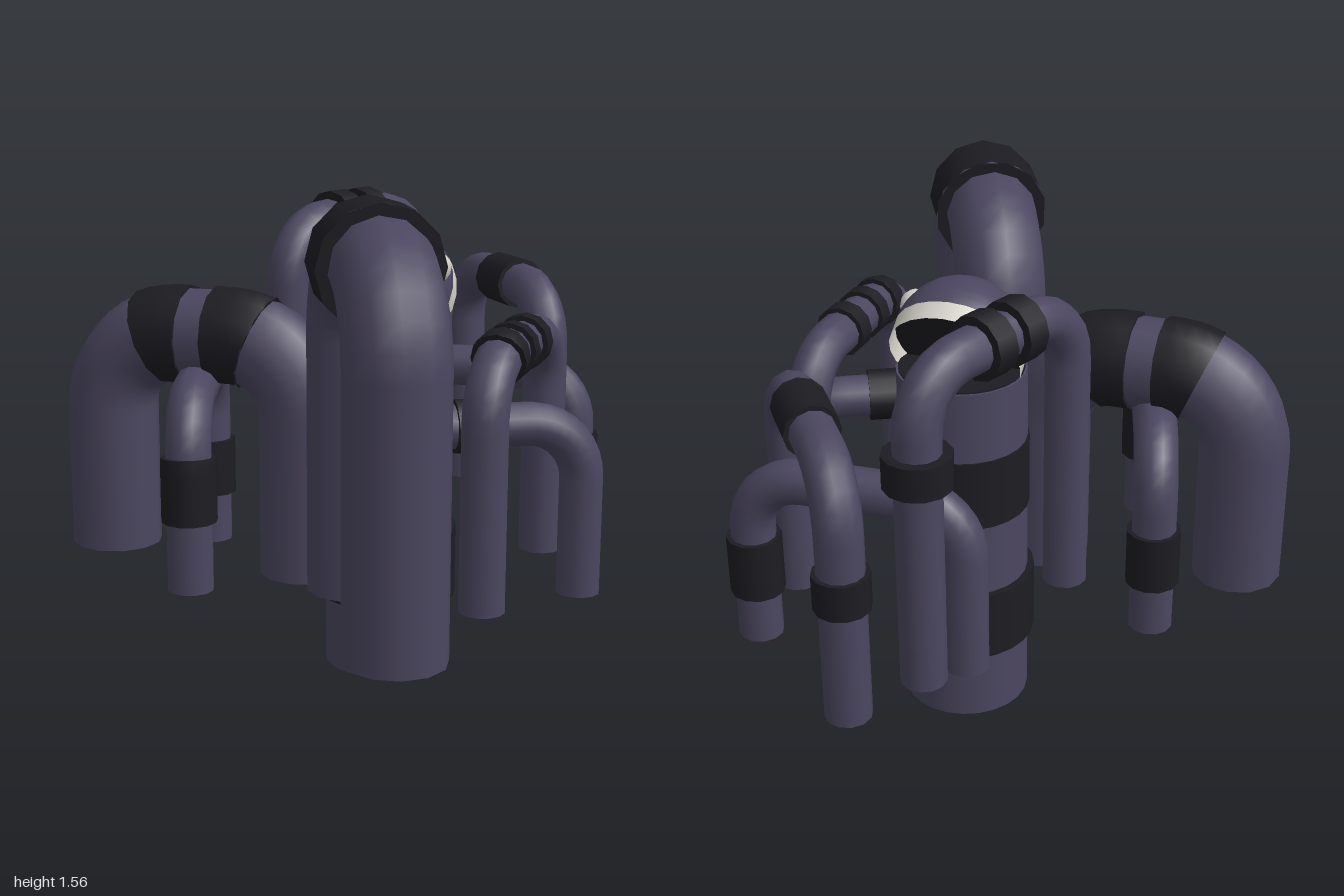
import * as THREE from 'three';

const skin = new THREE.MeshStandardMaterial({ color: 0x4b465f });
const dark = new THREE.MeshStandardMaterial({ color: 0x1c1c22 });
const ivory = new THREE.MeshStandardMaterial({ color: 0xd4d2c8, side: THREE.DoubleSide });

// Path of an arch: leg up, quarter turn, straight span, quarter turn, leg down.
// from/to are distances along the path, so a piece of it can be swept too.
class ArchCurve extends THREE.Curve {
  constructor(arch, from = 0, to = arch.length) {
    super();
    Object.assign(this, { arch, from, to });
  }
  getPoint(t, target = new THREE.Vector3()) {
    const { a, b, top, bend: R, span, upA, upB, flat, length } = this.arch;
    const s = this.from + (this.to - this.from) * t;
    const arc = R * Math.PI / 2;
    let u, y;
    if (s < upA) { u = 0; y = top - R - upA + s; }
    else if (s < upA + arc) {
      const k = (s - upA) / R;
      u = R - R * Math.cos(k); y = top - R + R * Math.sin(k);
    } else if (s < upA + arc + flat) { u = R + s - upA - arc; y = top; }
    else if (s < length - upB) {
      const k = (s - upA - arc - flat) / R;
      u = span - R + R * Math.sin(k); y = top - R + R * Math.cos(k);
    } else { u = span; y = top - R - (s - (length - upB)); }
    const f = u / span;
    return target.set(a[0] + (b[0] - a[0]) * f, y, a[1] + (b[1] - a[1]) * f);
  }
}

function add(parent, name, geometry, material, x = 0, y = 0, z = 0) {
  const mesh = new THREE.Mesh(geometry, material);
  mesh.name = name;
  mesh.position.set(x, y, z);
  parent.add(mesh);
  return mesh;
}

// Swept tube closed with a disc at both ends
function closedTube(parent, name, curve, radius, segments, material) {
  add(parent, name, new THREE.TubeGeometry(curve, segments, radius, 12), material);
  for (const t of [0, 1]) {
    const p = curve.getPoint(t);
    const out = curve.getTangent(t).multiplyScalar(t ? 1 : -1);
    const cap = add(parent, name + 'End', new THREE.CircleGeometry(radius, 12), material, p.x, p.y, p.z);
    cap.quaternion.setFromUnitVectors(new THREE.Vector3(0, 0, 1), out);
  }
}

// a, b: [x, z, bottom y] of the two legs; top: height of the centre line.
// bands: [place, position, width, radius], place 'a'/'b' = height on that leg,
// 'span' = distance from leg a along the top.
function makeArch({ name, a, b, top, radius, bend, bands }) {
  const group = new THREE.Group();
  group.name = name;
  const span = Math.hypot(b[0] - a[0], b[1] - a[1]);
  const upA = top - bend - a[2], upB = top - bend - b[2];
  const flat = span - 2 * bend;
  const length = upA + upB + flat + Math.PI * bend;
  const arch = { a, b, top, bend, span, upA, upB, flat, length };
  closedTube(group, 'tentacle', new ArchCurve(arch), radius, 48, skin);
  for (const [place, pos, width, r] of bands) {
    const s = place === 'a' ? pos - a[2]
      : place === 'b' ? length - (pos - b[2])
        : upA + bend * Math.PI / 2 + pos - bend;
    closedTube(group, 'band', new ArchCurve(arch, s - width / 2, s + width / 2), r, 4, dark);
  }
  return group;
}

const arches = [
  { name: 'largeSideArch', a: [-0.69, 0.15, 0.41], b: [-0.055, 0.175, 0.37], top: 1.09, radius: 0.14, bend: 0.235,
    bands: [['span', 0.205, 0.125, 0.15], ['span', 0.42, 0.135, 0.15]] },
  { name: 'largeFrontArch', a: [0.13, 0.28, 0.37], b: [0.405, 0.855, 0.38], top: 1.385, radius: 0.144, bend: 0.24,
    bands: [['span', 0.32, 0.19, 0.178]] },
  { name: 'smallSideArch', a: [-0.48, -0.135, 0.35], b: [-0.31, 0.49, 0.39], top: 0.945, radius: 0.068, bend: 0.17,
    bands: [['a', 0.6, 0.18, 0.083], ['b', 0.695, 0.19, 0.083]] },
  { name: 'threeBandArch', a: [0.555, 0.465, 0.4], b: [0.61, -0.17, 0.4], top: 1.105, radius: 0.067, bend: 0.17,
    bands: [['span', 0.14, 0.045, 0.082], ['span', 0.245, 0.05, 0.082], ['span', 0.38, 0.06, 0.082]] },
  { name: 'lowFrontArch', a: [0.19, 0.29, 0.33], b: [0.76, 0.015, 0.33], top: 0.86, radius: 0.067, bend: 0.17,
    bands: [['span', 0.31, 0.14, 0.082]] },
  { name: 'tallBackArch', a: [-0.205, -0.14, 0.47], b: [0.05, -0.715, 0.43], top: 1.39, radius: 0.069, bend: 0.17,
    bands: [['span', 0.235, 0.075, 0.095], ['span', 0.36, 0.075, 0.095], ['b', 1.12, 0.1, 0.1]] },
  { name: 'lowBackArch', a: [-0.01, -0.51, 0.35], b: [0.65, -0.525, 0.35], top: 0.9, radius: 0.068, bend: 0.17,
    bands: [['b', 0.6, 0.19, 0.083]] },
  { name: 'rearArch', a: [0.2, -0.918, 0.42], b: [0.575, -0.395, 0.47], top: 1.175, radius: 0.068, bend: 0.17,
    bands: [['a', 0.835, 0.11, 0.082], ['span', 0.355, 0.18, 0.082]] },
];

function makeBody() {
  const body = new THREE.Group();
  body.name = 'body';
  body.position.set(0.125, 0, -0.125);
  add(body, 'trunk', new THREE.CylinderGeometry(0.197, 0.197, 1.14, 24), skin, 0, 0.57, 0);
  add(body, 'lowerBand', new THREE.CylinderGeometry(0.218, 0.218, 0.225, 24), dark, 0, 0.342, 0);
  add(body, 'upperBand', new THREE.CylinderGeometry(0.203, 0.203, 0.225, 24), dark, 0, 0.802, 0);
  add(body, 'throat', new THREE.CylinderGeometry(0.19, 0.19, 0.01, 24), dark, 0, 1.14, 0);

  // Domed head tipped forward, open towards the back
  const head = new THREE.Group();
  head.name = 'head';
  head.position.set(0, 1.22, -0.012);
  head.rotation.x = Math.PI / 3;
  add(head, 'dome', new THREE.SphereGeometry(0.2, 24, 10, 0, Math.PI * 2, 0, Math.PI / 2), skin);
  add(head, 'teeth', new THREE.CylinderGeometry(0.2, 0.2, 0.06, 24, 1, true), ivory, 0, -0.03, 0);
  add(head, 'palate', new THREE.CylinderGeometry(0.195, 0.195, 0.01, 24), dark, 0, -0.006, 0);
  body.add(head);

  for (const side of [-1, 1])
    add(body, side < 0 ? 'rightEye' : 'leftEye', new THREE.SphereGeometry(0.048, 12, 8), ivory, side * 0.162, 1.29, 0.06);
  return body;
}

export function createModel() {
  const model = new THREE.Group();
  model.name = 'tentacledCreature';
  model.add(makeBody());
  for (const arch of arches) model.add(makeArch(arch));
  return model;
}
